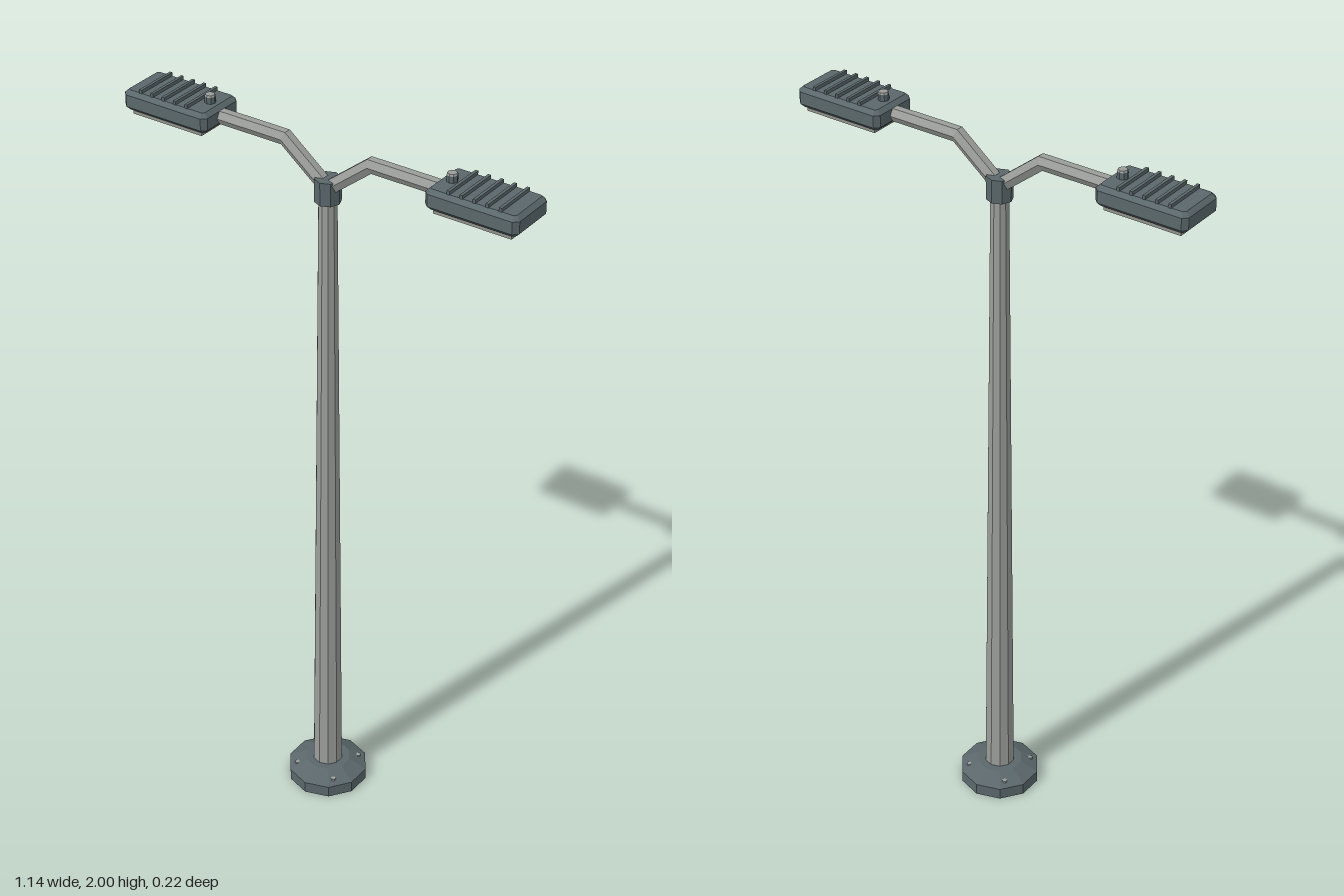
import * as THREE from 'three';

const steel = new THREE.MeshStandardMaterial({ color: 0x9a9d9a });
steel.name = 'galvanised steel';
const slate = new THREE.MeshStandardMaterial({ color: 0x5a676b });
slate.name = 'dark slate metal';
const glass = new THREE.MeshStandardMaterial({ color: 0x92928e });
glass.name = 'lens grey';

// Faceted mesh: every triangle gets its own flat normal
function part(name, geometry, material, x = 0, y = 0, z = 0) {
  const flat = geometry.index ? geometry.toNonIndexed() : geometry;
  flat.computeVertexNormals();
  const mesh = new THREE.Mesh(flat, material);
  mesh.name = name;
  mesh.position.set(x, y, z);
  return mesh;
}

// Hexagonal tube bent along a path in the xy plane, with mitred joints
function bentTube(points, radius) {
  const spans = points.length - 1;
  const geo = new THREE.CylinderGeometry(radius, radius, spans, 6, spans);
  const pos = geo.attributes.position;
  const dirs = points.slice(1).map((p, i) => p.clone().sub(points[i]).normalize());
  for (let i = 0; i < pos.count; i++) {
    const row = Math.round(pos.getY(i) + spans / 2);
    const a = dirs[Math.max(row - 1, 0)];
    const b = dirs[Math.min(row, spans - 1)];
    const t = a.clone().add(b).normalize();
    const offset = pos.getX(i) / t.dot(a);
    pos.setXY(i, points[row].x + t.y * offset, points[row].y - t.x * offset);
  }
  return geo;
}

// Box with bevelled edges and clipped corners
function bevelledBox(w, h, d, bevel) {
  const x = w / 2 - bevel, z = d / 2 - bevel, c = 0.006;
  const shape = new THREE.Shape([
    [-x + c, -z], [x - c, -z], [x, -z + c], [x, z - c],
    [x - c, z], [-x + c, z], [-x, z - c], [-x, -z + c],
  ].map(([px, py]) => new THREE.Vector2(px, py)));
  const geo = new THREE.ExtrudeGeometry(shape, {
    depth: h - 2 * bevel, bevelEnabled: true, bevelSize: bevel,
    bevelThickness: bevel, bevelSegments: 1,
  });
  geo.translate(0, 0, bevel - h / 2);
  return geo.rotateX(-Math.PI / 2);
}

function createLampArm() {
  const arm = new THREE.Group();
  const path = [[0, 1.85], [0.125, 1.95], [0.34, 1.95]].map(([x, y]) => new THREE.Vector2(x, y));
  arm.add(part('armTube', bentTube(path, 0.02), steel));

  // Lamp head with lens below and cooling fins above
  const cx = 0.442;
  arm.add(part('lampHousing', bevelledBox(0.254, 0.054, 0.142, 0.011), slate, cx, 1.951));
  arm.add(part('lens', new THREE.BoxGeometry(0.212, 0.014, 0.112), glass, cx, 1.92));
  for (let i = 0; i < 5; i++) {
    const fin = new THREE.BoxGeometry(0.008, 0.014, 0.122);
    arm.add(part('coolingFin', fin, slate, 0.378 + i * 0.035, 1.98));
  }

  // Light sensor near the arm end
  arm.add(part('sensorBody', new THREE.CylinderGeometry(0.014, 0.014, 0.022, 8), slate, 0.35, 1.984));
  arm.add(part('sensorCap', new THREE.CylinderGeometry(0.012, 0.014, 0.005, 8), steel, 0.35, 1.9975));
  return arm;
}

export function createModel() {
  const model = new THREE.Group();
  model.name = 'doubleStreetLamp';

  // Base: short drum with a sloping shoulder
  model.add(part('baseDrum', new THREE.CylinderGeometry(0.11, 0.11, 0.033, 10), slate, 0, 0.0165));
  model.add(part('baseShoulder', new THREE.CylinderGeometry(0.062, 0.11, 0.025, 10), slate, 0, 0.0455));
  for (const sx of [-1, 1]) {
    for (const sz of [-1, 1]) {
      const bolt = new THREE.CylinderGeometry(0.007, 0.007, 0.02, 6);
      model.add(part('anchorBolt', bolt, steel, sx * 0.061, 0.0365, sz * 0.061));
    }
  }

  // Tapered pole and the collar that holds the arms
  model.add(part('pole', new THREE.CylinderGeometry(0.024, 0.041, 1.8, 10), steel, 0, 0.945));
  model.add(part('collar', new THREE.CylinderGeometry(0.034, 0.034, 0.062, 8), slate, 0, 1.847));

  // Two opposite lamp arms
  ['leftArm', 'rightArm'].forEach((name, i) => {
    const arm = createLampArm();
    arm.name = name;
    arm.rotation.y = i * Math.PI;
    model.add(arm);
  });
  return model;
}
